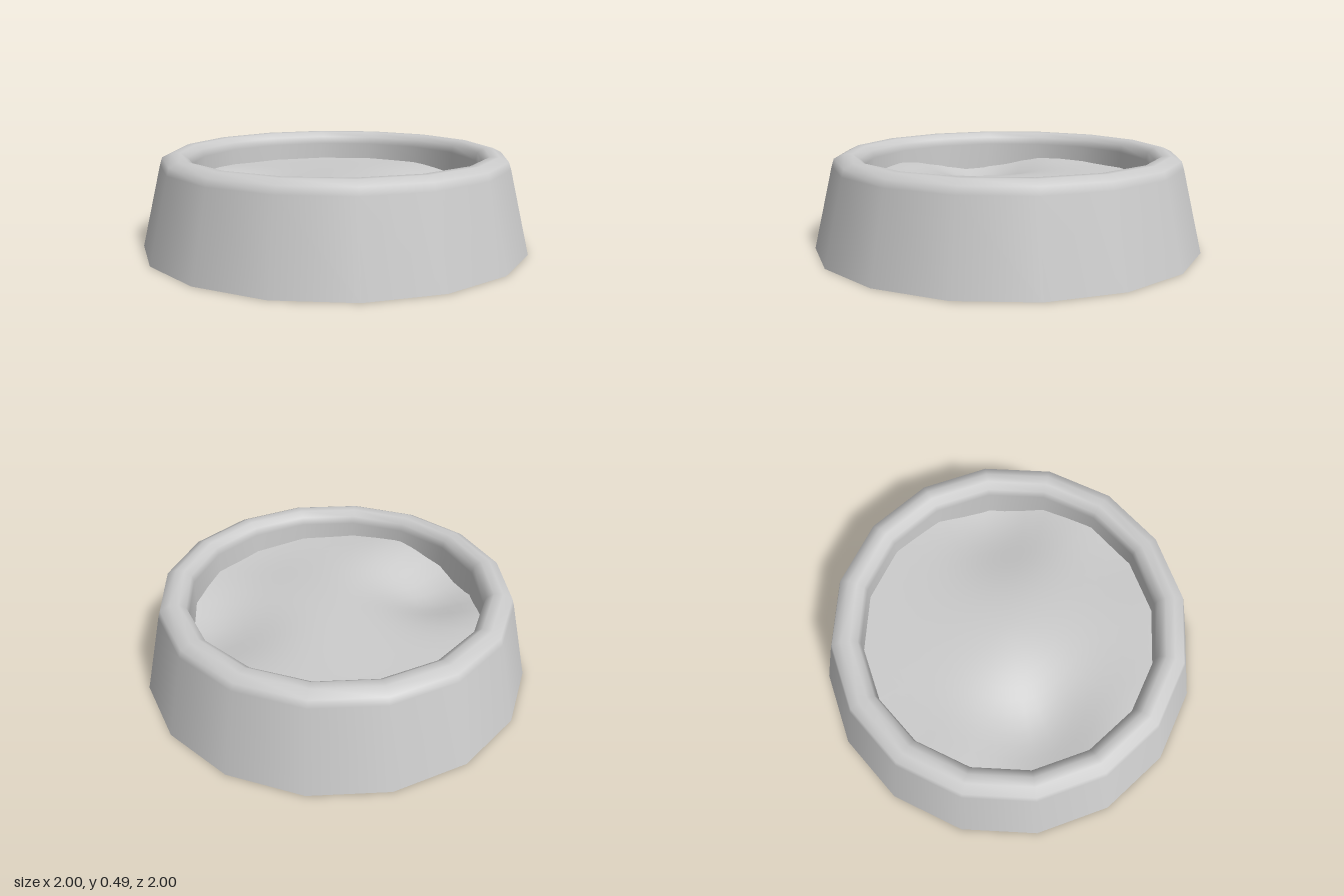
import * as THREE from 'three';
import { mergeVertices } from 'three/addons/utils/BufferGeometryUtils.js';

export function createModel() {
  const model = new THREE.Group();
  model.name = 'bowl';
  const material = new THREE.MeshStandardMaterial({ color: 0xcccccc, side: THREE.DoubleSide });
  const add = (name, geometry) => {
    const mesh = new THREE.Mesh(geometry, material);
    mesh.name = name;
    model.add(mesh);
  };

  // Sixteen-sided body: sloped skirt open below, rounded rim, inner wall and floor
  const profile = [
    [1, 0], [0.9, 0.425], [0.888, 0.463], [0.84, 0.486], [0.795, 0.485],
    [0.76, 0.46], [0.75, 0.42], [0.75, 0.09], [0.745, 0.06], [0.725, 0.045],
    [0.69, 0.045], [0, 0.045],
  ].map(([r, y]) => new THREE.Vector2(r, y));
  add('bowlBody', new THREE.LatheGeometry(profile, 16, -0.05));

  // Gentle dips and mounds of the contents: x, z, height, width
  const bumps = [
    [-0.54, 0.05, -0.1, 0.2],
    [0.66, 0.06, -0.09, 0.22],
    [-0.62, -0.32, 0.02, 0.16],
    [-0.55, 0.48, 0.03, 0.18],
    [0.1, 0.05, 0.02, 0.3],
    [0.3, 0.6, -0.02, 0.2],
  ];
  const height = (x, z) => bumps.reduce(
    (y, [bx, bz, h, w]) => y + h * Math.exp(-((x - bx) ** 2 + (z - bz) ** 2) / (2 * w * w)), 0.33);

  // Wavy disc whose edge is tucked into the hollow wall
  let surface = new THREE.RingGeometry(0, 0.84, 40, 14);
  surface.rotateX(-Math.PI / 2);
  surface.deleteAttribute('uv');
  surface.deleteAttribute('normal');
  surface = mergeVertices(surface, 1e-4);
  const p = surface.attributes.position;
  for (let i = 0; i < p.count; i++) p.setY(i, height(p.getX(i), p.getZ(i)));
  surface.computeVertexNormals();
  add('contentsSurface', surface);

  return model;
}
